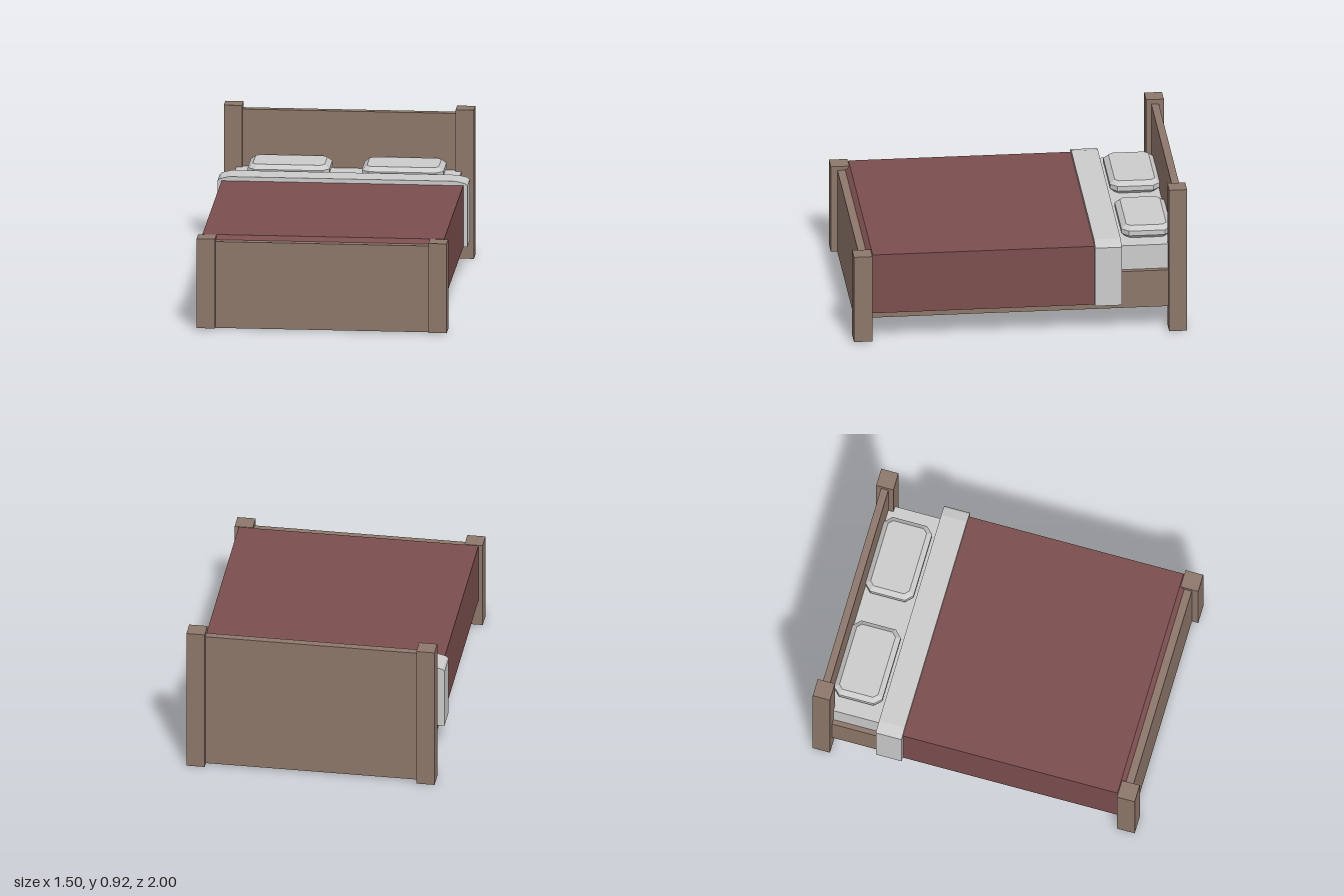
import * as THREE from 'three';

export function createModel() {
  const bed = new THREE.Group();
  bed.name = 'bed';
  const make = (color) => new THREE.MeshStandardMaterial({ color, flatShading: true });
  const wood = make(0x8d776a), linen = make(0xcccccc), wool = make(0x7c4e4e);

  const add = (name, geometry, material) => {
    const mesh = new THREE.Mesh(geometry, material);
    mesh.name = name;
    bed.add(mesh);
    return mesh;
  };
  // Box given by its extents on each axis
  const box = (name, material, [x0, x1], [y0, y1], [z0, z1]) =>
    add(name, new THREE.BoxGeometry(x1 - x0, y1 - y0, z1 - z0), material)
      .position.set((x0 + x1) / 2, (y0 + y1) / 2, (z0 + z1) / 2);
  const outline = (points) => new THREE.Shape(points.map(([x, y]) => new THREE.Vector2(x, y)));

  // Corner posts
  for (const side of [1, -1]) {
    const x = side > 0 ? [0.64, 0.75] : [-0.75, -0.64];
    const label = side > 0 ? 'left' : 'right';
    box(label + 'HeadPost', wood, x, [0, 0.915], [-1, -0.893]);
    box(label + 'FootPost', wood, x, [0.01, 0.56], [0.89, 1]);
  }

  // End boards and base
  box('headboard', wood, [-0.64, 0.64], [0.01, 0.885], [-0.97, -0.925]);
  box('footboard', wood, [-0.64, 0.64], [0.004, 0.535], [0.912, 0.96]);
  box('bedBase', wood, [-0.705, 0.705], [0.145, 0.38], [-0.925, 0.912]);
  box('mattress', linen, [-0.675, 0.675], [0.38, 0.535], [-0.925, 0.88]);

  // Blanket: side profile with a sloped foot edge, extruded across the bed
  const blanket = new THREE.ExtrudeGeometry(
    outline([[0.5, 0.182], [0.5, 0.56], [-0.885, 0.56], [-0.913, 0.535], [-0.913, 0.182]]),
    { depth: 1.45, bevelEnabled: false });
  blanket.rotateY(Math.PI / 2).translate(-0.725, 0, 0);
  add('blanket', blanket, wool);

  // Folded sheet: arch over the mattress with softened shoulders
  const outer = [[0.75, 0.182], [0.75, 0.558], [0.737, 0.572], [0.68, 0.586]];
  const inner = [[0.675, 0.535], [0.705, 0.5], [0.705, 0.182]];
  const half = [...outer.slice().reverse(), ...inner.slice().reverse()];
  const arch = [
    ...outer, ...outer.slice().reverse().map(([x, y]) => [-x, y]),
    ...inner.slice().reverse().map(([x, y]) => [-x, y]), ...inner,
  ];
  const fold = new THREE.ExtrudeGeometry(outline(arch), { depth: 0.16, bevelEnabled: false });
  fold.translate(0, 0, -0.608);
  add('foldedSheet', fold, linen);

  // Pillows: chamfered slabs with cut corners
  const w = 0.215, d = 0.12, c = 0.025;
  const pillow = new THREE.ExtrudeGeometry(
    outline([[w, -d + c], [w, d - c], [w - c, d], [-w + c, d],
      [-w, d - c], [-w, -d + c], [-w + c, -d], [w - c, -d]]),
    { depth: 0.03, bevelEnabled: true, bevelThickness: 0.025, bevelSize: 0.03, bevelSegments: 1 });
  pillow.rotateX(-Math.PI / 2).translate(0, 0.025, 0);
  for (const side of [1, -1]) {
    add(side > 0 ? 'leftPillow' : 'rightPillow', pillow, linen)
      .position.set(side * 0.342, 0.535, -0.776);
  }

  return bed;
}
